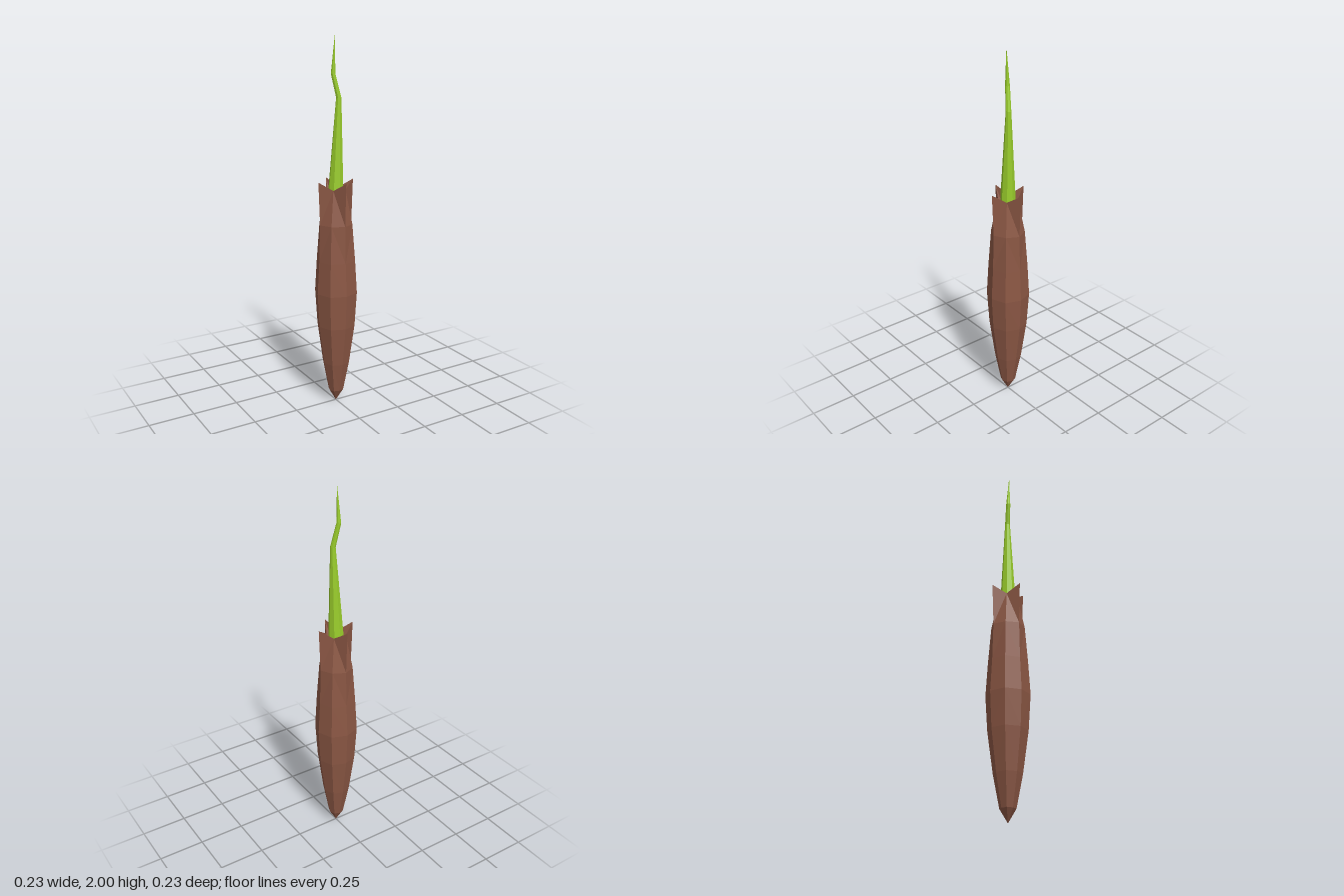
import * as THREE from 'three';

const SIDES = 8;

// Ring of eight points; axis points use r, diagonal points use d (radii) and their own heights
function ring(y, r, d = r, yd = y, cx = 0, cz = 0) {
  return Array.from({ length: SIDES }, (_, i) => {
    const a = (i / SIDES) * Math.PI * 2;
    const odd = i % 2 === 1;
    const rad = odd ? d : r;
    return new THREE.Vector3(cx + Math.sin(a) * rad, odd ? yd : y, cz + Math.cos(a) * rad);
  });
}

// Joins successive rings with triangles, skipping the collapsed ones at tips
function loft(rings) {
  const pos = [];
  const tri = (a, b, c) => {
    if (a.distanceTo(b) < 1e-6 || b.distanceTo(c) < 1e-6 || c.distanceTo(a) < 1e-6) return;
    for (const p of [a, b, c]) pos.push(p.x, p.y, p.z);
  };
  for (let k = 0; k < rings.length - 1; k++) {
    const lo = rings[k], hi = rings[k + 1];
    for (let i = 0; i < SIDES; i++) {
      const j = (i + 1) % SIDES;
      // mirror the split so creases meet at the axis points
      if (i % 2 === 0) {
        tri(lo[i], lo[j], hi[j]);
        tri(lo[i], hi[j], hi[i]);
      } else {
        tri(lo[i], lo[j], hi[i]);
        tri(lo[j], hi[j], hi[i]);
      }
    }
  }
  const g = new THREE.BufferGeometry();
  g.setAttribute('position', new THREE.Float32BufferAttribute(pos, 3));
  g.computeVertexNormals();
  return g;
}

export function createModel() {
  const brown = new THREE.MeshStandardMaterial({ color: 0x8b5744, flatShading: true });
  brown.name = 'huskBrown';
  const green = new THREE.MeshStandardMaterial({ color: 0x99cc2b, flatShading: true });
  green.name = 'shootGreen';

  // Husk: pointed root, swollen middle, four petal tips, then the hollow inside
  const husk = new THREE.Mesh(loft([
    ring(0, 0),
    ring(0.07, 0.04, 0.042),
    ring(0.24, 0.073, 0.075),
    ring(0.46, 0.103, 0.105),
    ring(0.65, 0.113, 0.117),
    ring(0.83, 0.102, 0.106),
    ring(1.03, 0.096, 0.09),
    ring(1.26, 0.105, 0.052, 1.215),
    ring(1.06, 0.042, 0.04),
    ring(1.06, 0),
  ]), brown);
  husk.name = 'husk';

  // Shoot: tapering stem with a kink near its tip
  const shoot = new THREE.Mesh(loft([
    ring(1.05, 0.043),
    ring(1.22, 0.04),
    ring(1.69, 0.014, 0.014, 1.69, 0.013, 0.007),
    ring(1.81, 0.012, 0.012, 1.81, -0.012, -0.007),
    ring(2.0, 0, 0, 2.0, -0.008, 0.003),
  ]), green);
  shoot.name = 'shoot';

  const model = new THREE.Group();
  model.name = 'sproutingBulb';
  model.add(husk, shoot);
  return model;
}
